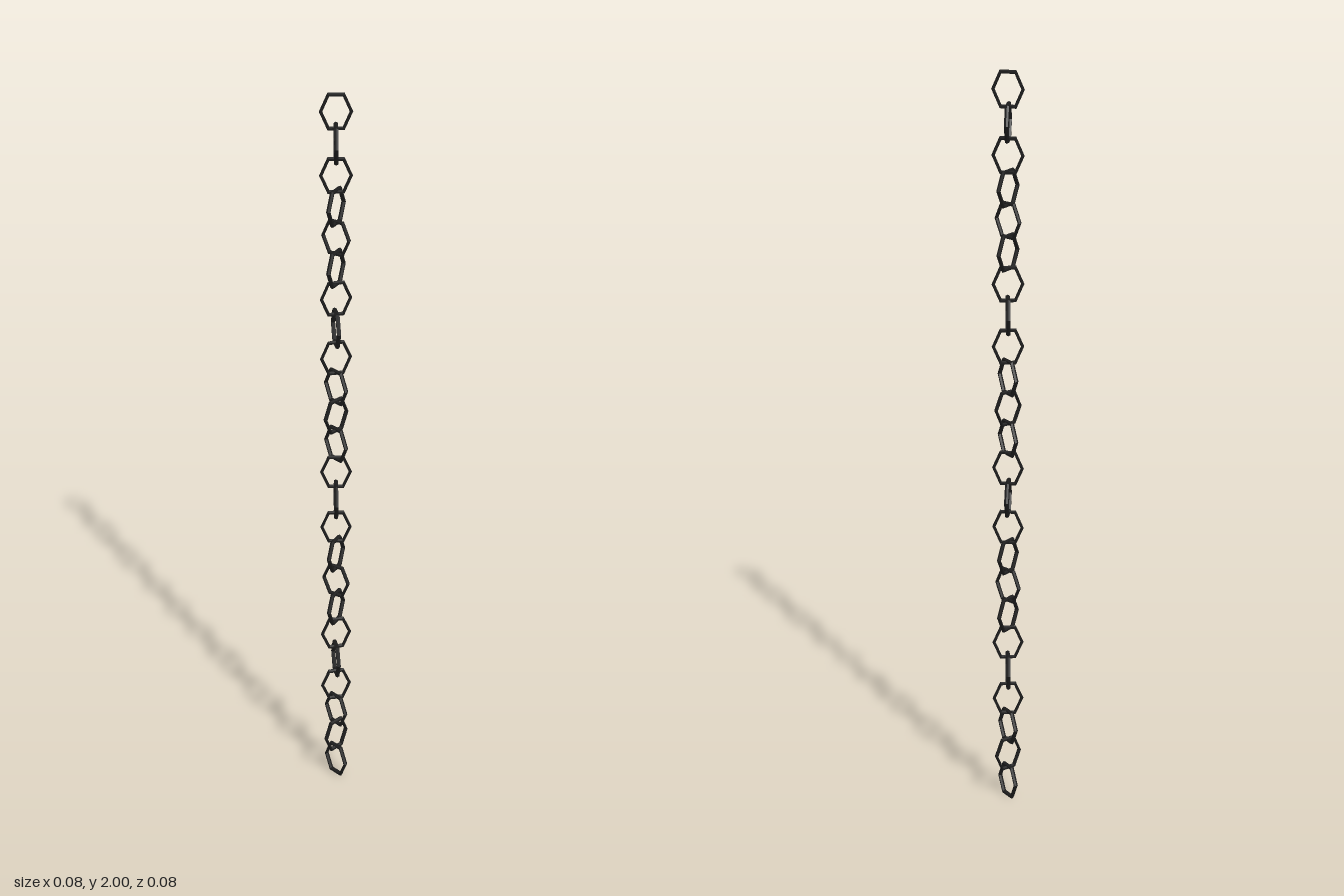
import * as THREE from 'three';

const LINKS = 24;
const HALF_HEIGHT = 0.048;
const PITCH = (2 - 2 * HALF_HEIGHT) / (LINKS - 1);
const OUTER = 0.041; // half width of a link
const WIRE = 0.0042; // wire radius in the plane of the link
const WIRE_DEPTH = 1.4; // the wire is deeper than it is wide
// twist of each run of three links, in degrees
const TWISTS = [82, 50, 8, 40];

export function createModel() {
  const chain = new THREE.Group();
  chain.name = 'chain';
  const metal = new THREE.MeshStandardMaterial({ color: 0x1c1c1c, flatShading: true });

  // six-sided link, flat at top and bottom, stretched upright
  const link = new THREE.TorusGeometry(OUTER - WIRE, WIRE, 6, 6);
  link.scale(1, HALF_HEIGHT / (OUTER * Math.sin(Math.PI / 3)), WIRE_DEPTH);

  // neighbouring links stand at right angles, and the chain twists back and forth
  for (let i = 0; i < LINKS; i++) {
    const mesh = new THREE.Mesh(link, metal);
    mesh.name = `link${i + 1}`;
    const twist = TWISTS[Math.floor(i / 3) % TWISTS.length] + (i % 2) * 90;
    mesh.rotation.y = THREE.MathUtils.degToRad(twist);
    mesh.position.y = HALF_HEIGHT + i * PITCH;
    chain.add(mesh);
  }
  return chain;
}
